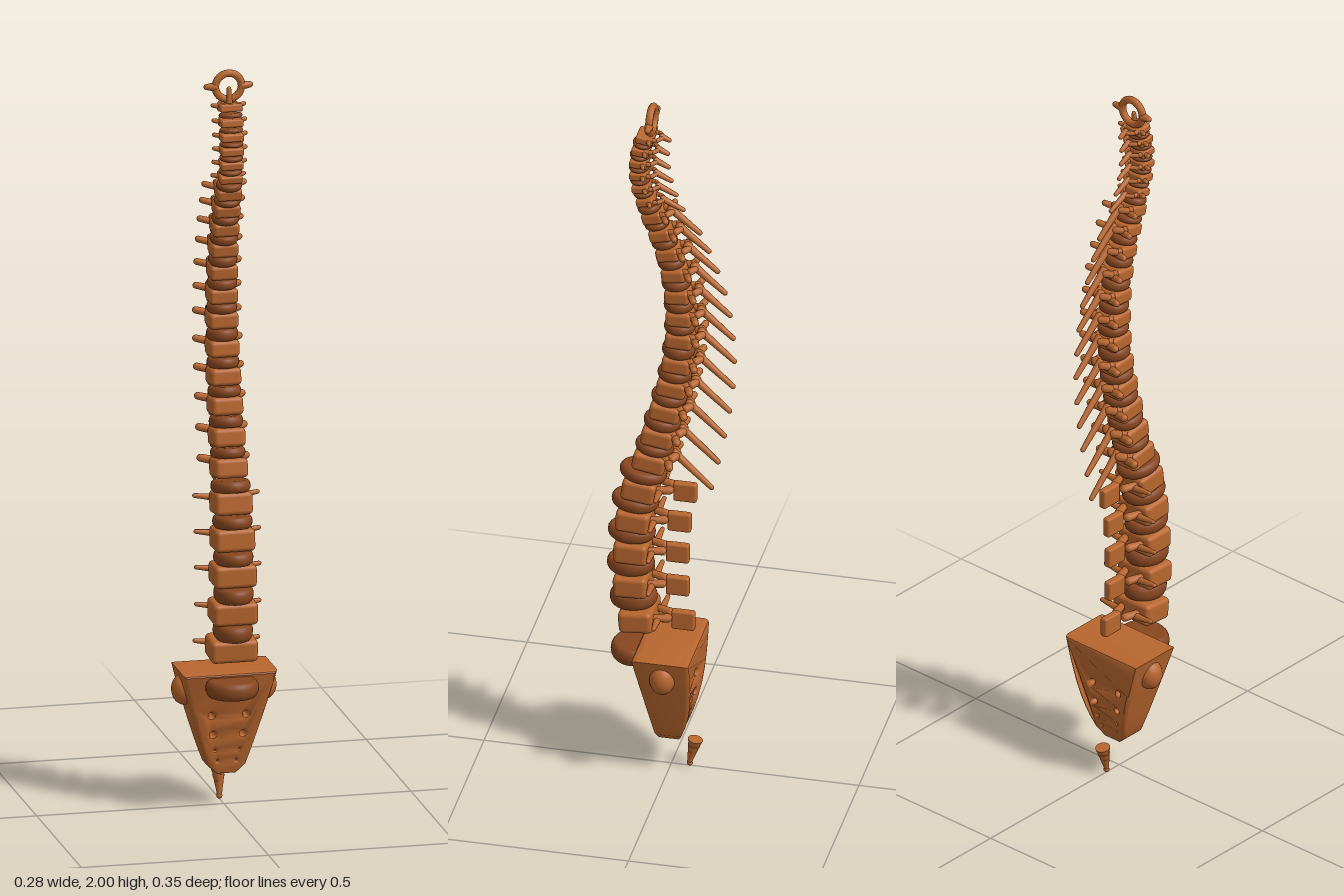
import * as THREE from 'three';
import { toCreasedNormals } from 'three/addons/utils/BufferGeometryUtils.js';
import { RoundedBoxGeometry } from 'three/addons/geometries/RoundedBoxGeometry.js';

const bone = new THREE.MeshStandardMaterial({ color: 0xb8662e });
bone.name = 'bone';
const cartilage = new THREE.MeshStandardMaterial({ color: 0x87461f });
cartilage.name = 'cartilage';

const V = (x, y, z) => new THREE.Vector3(x, y, z);
const lerp = THREE.MathUtils.lerp;

function add(parent, name, geometry, material, x = 0, y = 0, z = 0) {
  const mesh = new THREE.Mesh(geometry, material);
  mesh.name = name;
  mesh.position.set(x, y, z);
  parent.add(mesh);
  return mesh;
}

// Tapered round-ended rod from a to b
function rod(parent, name, a, b, r0, r1) {
  const len = a.distanceTo(b), pts = [];
  for (let i = 0; i <= 4; i++) {
    const t = (i / 4) * Math.PI / 2;
    pts.push(new THREE.Vector2(r0 * Math.sin(t), -r0 * Math.cos(t) * 0.6));
  }
  for (let i = 4; i >= 0; i--) {
    const t = (i / 4) * Math.PI / 2;
    pts.push(new THREE.Vector2(r1 * Math.sin(t), len - r1 + r1 * Math.cos(t)));
  }
  const mesh = add(parent, name, new THREE.LatheGeometry(pts, 10), bone, a.x, a.y, a.z);
  mesh.quaternion.setFromUnitVectors(V(0, 1, 0), b.clone().sub(a).normalize());
}

// Round cushion with a bulging rim
function disc(parent, y, z, rx, rz, h, tilt) {
  const pts = [new THREE.Vector2(0, -h / 2)];
  for (let i = 0; i <= 8; i++) {
    const t = -Math.PI / 2 + (i / 8) * Math.PI;
    pts.push(new THREE.Vector2(1 - 0.2 * (1 - Math.cos(t)), Math.sin(t) * h / 2));
  }
  pts.push(new THREE.Vector2(0, h / 2));
  const mesh = add(parent, 'disc', new THREE.LatheGeometry(pts, 28), cartilage, 0, y, z);
  mesh.scale.set(rx, 1, rz);
  mesh.rotation.x = tilt;
}

// Vertebra centres [y, z] from the lowest up: 5 lumbar, 12 thoracic, 6 cervical
const centres = [
  [0.447, 0.085], [0.55, 0.1], [0.65, 0.1], [0.745, 0.095], [0.838, 0.08],
  [0.925, 0.053], [1.003, 0.032], [1.082, 0.012], [1.157, -0.005], [1.23, -0.018], [1.305, -0.025],
  [1.372, -0.025], [1.438, -0.02], [1.502, -0.01], [1.562, 0.006], [1.618, 0.026], [1.668, 0.047],
  [1.713, 0.066], [1.752, 0.078], [1.79, 0.084], [1.827, 0.084], [1.864, 0.079], [1.902, 0.068],
];

function bodySize(i) {
  if (i < 5) return [lerp(0.125, 0.1, i / 4), 0.06, 0.09];
  if (i < 17) {
    const t = (i - 5) / 11;
    return [lerp(0.088, 0.066, t), lerp(0.052, 0.032, t), lerp(0.088, 0.054, t)];
  }
  return [0.06, 0.021, 0.046];
}

function tiltAt(i) {
  const a = centres[Math.max(i - 1, 0)], b = centres[Math.min(i + 1, centres.length - 1)];
  return Math.atan2(b[1] - a[1], b[0] - a[0]) * 0.6;
}

function vertebra(i) {
  const g = new THREE.Group();
  const [w, h, d] = bodySize(i);
  const lumbar = i < 5, thoracic = i >= 5 && i < 17;
  g.name = lumbar ? 'lumbarVertebra' : thoracic ? 'thoracicVertebra' : 'cervicalVertebra';
  g.position.set(0, centres[i][0], centres[i][1]);
  const body = add(g, 'vertebralBody', new RoundedBoxGeometry(w, h, d, 3, Math.min(h * 0.25, 0.012)), bone);
  body.rotation.x = tiltAt(i);
  const back = -d / 2;
  for (const s of [-1, 1]) {
    if (lumbar) {
      rod(g, 'pedicle', V(s * 0.03, 0.005, back + 0.01), V(s * 0.012, 0.003, back - 0.045), 0.009, 0.012);
      rod(g, 'sideWing', V(s * 0.028, 0, back - 0.008), V(s * 0.09, 0.008, back - 0.012), 0.01, 0.006);
    } else if (thoracic) {
      const r = lerp(0.012, 0.009, (i - 5) / 11);
      rod(g, 'pedicle', V(s * w * 0.3, 0.01, back + 0.01), V(s * 0.024, 0.016, back - 0.014), r, r);
      rod(g, 'lamina', V(s * 0.024, 0.016, back - 0.012), V(0, 0.018, back - 0.028), r, r);
      rod(g, 'sideWing', V(s * 0.022, 0.005, back - 0.005), V(s * lerp(0.07, 0.06, (i - 5) / 11), 0.014, back - 0.02), r, r * 0.9);
    } else {
      rod(g, 'pedicle', V(s * 0.022, 0.003, back + 0.006), V(s * 0.02, 0.003, back - 0.012), 0.006, 0.006);
      rod(g, 'lamina', V(s * 0.02, 0.003, back - 0.01), V(0, 0.004, back - 0.026), 0.006, 0.006);
      rod(g, 'sideWing', V(s * 0.022, 0, back + 0.012), V(s * 0.047, 0.004, back + 0.004), 0.007, 0.006);
    }
  }
  // Rear projection: plate, long slanting spine, or short peg
  if (lumbar) {
    add(g, 'rearPlate', new RoundedBoxGeometry(0.022, 0.055, 0.062, 2, 0.006), bone, 0, -0.005, back - 0.072);
  } else if (thoracic) {
    const t = (i - 5) / 11;
    rod(g, 'rearSpine', V(0, 0.024, back - 0.016), V(0, lerp(-0.075, -0.045, t), lerp(-0.165, -0.128, t)), 0.011, 0.007);
  } else {
    const t = (i - 17) / 5;
    rod(g, 'rearPeg', V(0, 0.006, back - 0.018), V(0, lerp(-0.024, -0.006, t), back - lerp(0.08, 0.045, t)), 0.009, 0.006);
  }
  return g;
}

// Tapered wedge with paired openings, bowed backwards and hollowed behind
function sacrum() {
  const g = new THREE.Group();
  g.name = 'sacrum';
  const top = 0.367, bottom = 0.098, right = [];
  const halfWidth = y => lerp(0.036, 0.117, Math.pow(THREE.MathUtils.clamp((y - bottom) / (top - bottom), 0, 1), 0.9));
  for (let i = 0; i <= 8; i++) {
    const y = lerp(bottom + 0.02, top, i / 8);
    right.push(new THREE.Vector2(halfWidth(y), y));
  }
  const left = right.map(p => new THREE.Vector2(-p.x, p.y)).reverse();
  const shape = new THREE.Shape([new THREE.Vector2(-0.022, bottom), new THREE.Vector2(0.022, bottom), ...right, ...left]);
  for (const [x, y] of [[0.046, 0.257], [0.04, 0.202], [0.033, 0.157], [0.025, 0.127]]) {
    for (const s of [-1, 1]) {
      const hole = new THREE.Path();
      hole.absarc(s * x, y, y > 0.18 ? 0.015 : 0.01, 0, Math.PI * 2, true);
      shape.holes.push(hole);
    }
  }
  const geo = new THREE.ExtrudeGeometry(shape, {
    depth: 0.8, bevelEnabled: true, bevelThickness: 0.1, bevelSize: 0.008, bevelSegments: 3, curveSegments: 8,
  });
  const p = geo.attributes.position;
  for (let i = 0; i < p.count; i++) {
    const x = p.getX(i), y = p.getY(i), u = p.getZ(i) + 0.1;
    const t = THREE.MathUtils.clamp((top - y) / (top - bottom), 0, 1);
    const inside = Math.max(0, 1 - Math.pow(x / halfWidth(y), 2));
    const hollow = t > 0.1 ? 0.03 * inside * (1 - t) : 0;
    p.setZ(i, lerp(-0.073 + 0.043 * t * t * t + hollow, 0.08 - 0.048 * t, u));
  }
  add(g, 'sacrumBody', toCreasedNormals(geo, 0.6), bone);
  // Side joint swellings
  for (const s of [-1, 1]) {
    const m = add(g, 'sideJoint', new THREE.SphereGeometry(1, 20, 14), bone, s * 0.107, 0.318, 0);
    m.scale.set(0.033, 0.042, 0.034);
  }
  disc(g, 0.34, 0.095, 0.07, 0.065, 0.046, 0);
  return g;
}

// Top ring with side knobs
function atlas() {
  const g = new THREE.Group();
  g.name = 'atlas';
  g.position.set(0, 1.955, 0.052);
  add(g, 'ring', new THREE.TorusGeometry(0.035, 0.01, 10, 32), bone);
  for (const s of [-1, 1]) rod(g, 'sideKnob', V(s * 0.036, 0, 0), V(s * 0.066, 0.001, -0.002), 0.012, 0.008);
  rod(g, 'dens', V(0, -0.05, 0.01), V(0, 0, 0.005), 0.009, 0.006);
  return g;
}

// Small stacked tail bones
function coccyx() {
  const g = new THREE.Group();
  g.name = 'coccyx';
  for (let i = 0; i < 4; i++) {
    const r = lerp(0.02, 0.009, i / 3);
    const m = add(g, 'tailBone', new THREE.CylinderGeometry(r, r * 0.7, 0.02, 14), bone, 0, 0.071 - i * 0.0175, -0.062 + i * 0.004);
    m.rotation.x = -0.2;
  }
  add(g, 'tailTip', new THREE.SphereGeometry(0.008, 12, 8), bone, 0, 0.008, -0.049);
  return g;
}

export function createModel() {
  const model = new THREE.Group();
  model.name = 'spine';
  model.add(sacrum(), coccyx(), atlas());
  centres.forEach(([y, z], i) => {
    model.add(vertebra(i));
    if (i === centres.length - 1) return;
    const [w, h, d] = bodySize(i), next = centres[i + 1];
    const gap = next[0] - y - (h + bodySize(i + 1)[1]) / 2;
    const lumbar = i < 5;
    disc(model, (y + next[0]) / 2, (z + next[1]) / 2 + (lumbar ? 0.008 : 0.002),
      lumbar ? 0.052 : w * 0.52, lumbar ? 0.063 : d * 0.58, Math.max(gap, 0.01) * (i < 17 ? 1 : 0.7), (tiltAt(i) + tiltAt(i + 1)) / 2);
  });
  return model;
}
